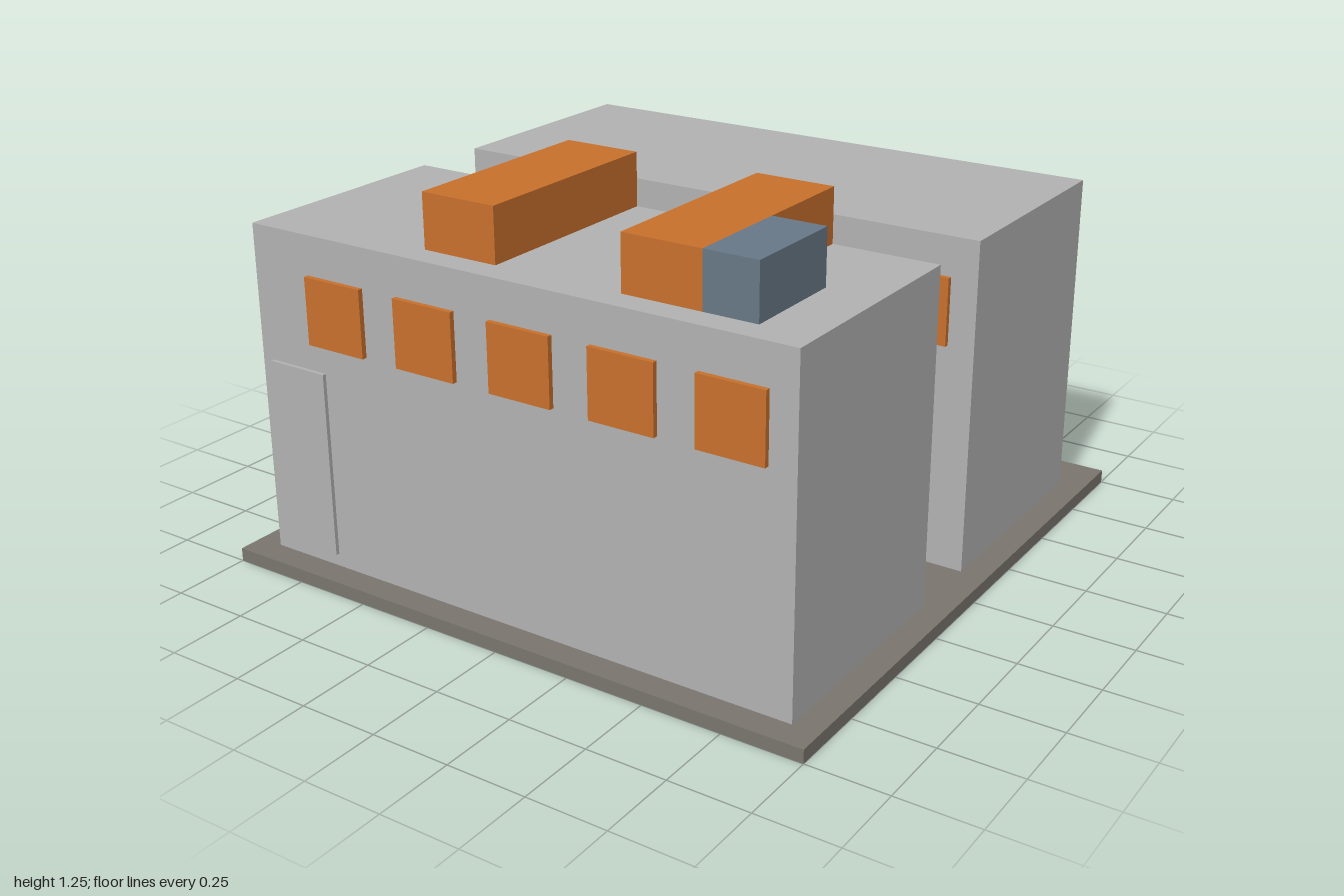
import * as THREE from 'three';

const material = (name, color) => {
  const m = new THREE.MeshStandardMaterial({ color });
  m.name = name;
  return m;
};

export function createModel() {
  const wall = material('wall grey', 0xb2b2b2);
  const orange = material('orange', 0xc8702c);
  const blue = material('slate blue', 0x687887);
  const ground = material('ground', 0x7a766e);

  // Box given by its minimum and maximum corners
  const box = (parent, name, mat, [x0, y0, z0], [x1, y1, z1]) => {
    const mesh = new THREE.Mesh(new THREE.BoxGeometry(x1 - x0, y1 - y0, z1 - z0), mat);
    mesh.position.set((x0 + x1) / 2, (y0 + y1) / 2, (z0 + z1) / 2);
    mesh.name = name;
    parent.add(mesh);
  };

  const model = new THREE.Group();
  model.name = 'twinBuildings';
  box(model, 'basePlate', ground, [-1, 0, -1], [1, 0.042, 1]);

  // Two identical blocks, each with a door and a row of windows on its front
  [['frontBuilding', 0.917], ['backBuilding', -0.083]].forEach(([name, frontZ]) => {
    const building = new THREE.Group();
    building.name = name;
    building.position.z = frontZ;
    box(building, 'walls', wall, [-0.917, 0.042, -0.75], [0.917, 1.083, 0]);
    box(building, 'door', wall, [-0.875, 0.083, 0], [-0.667, 0.667, 0.012]);
    for (let i = 0; i < 5; i++) {
      const x = -0.708 + i / 3;
      box(building, 'window', orange, [x, 0.753, 0], [x + 0.208, 0.961, 0.016]);
    }
    model.add(building);
  });

  // Rooftop units on the front building
  const roof = new THREE.Group();
  roof.name = 'roofUnits';
  for (const x of [-0.333, 0.333]) {
    box(roof, 'roofUnit', orange, [x, 1.083, 0.167], [x + 0.25, 1.25, 0.833]);
  }
  box(roof, 'sideUnit', blue, [0.583, 1.083, 0.5], [0.75, 1.25, 0.833]);
  model.add(roof);

  return model;
}
